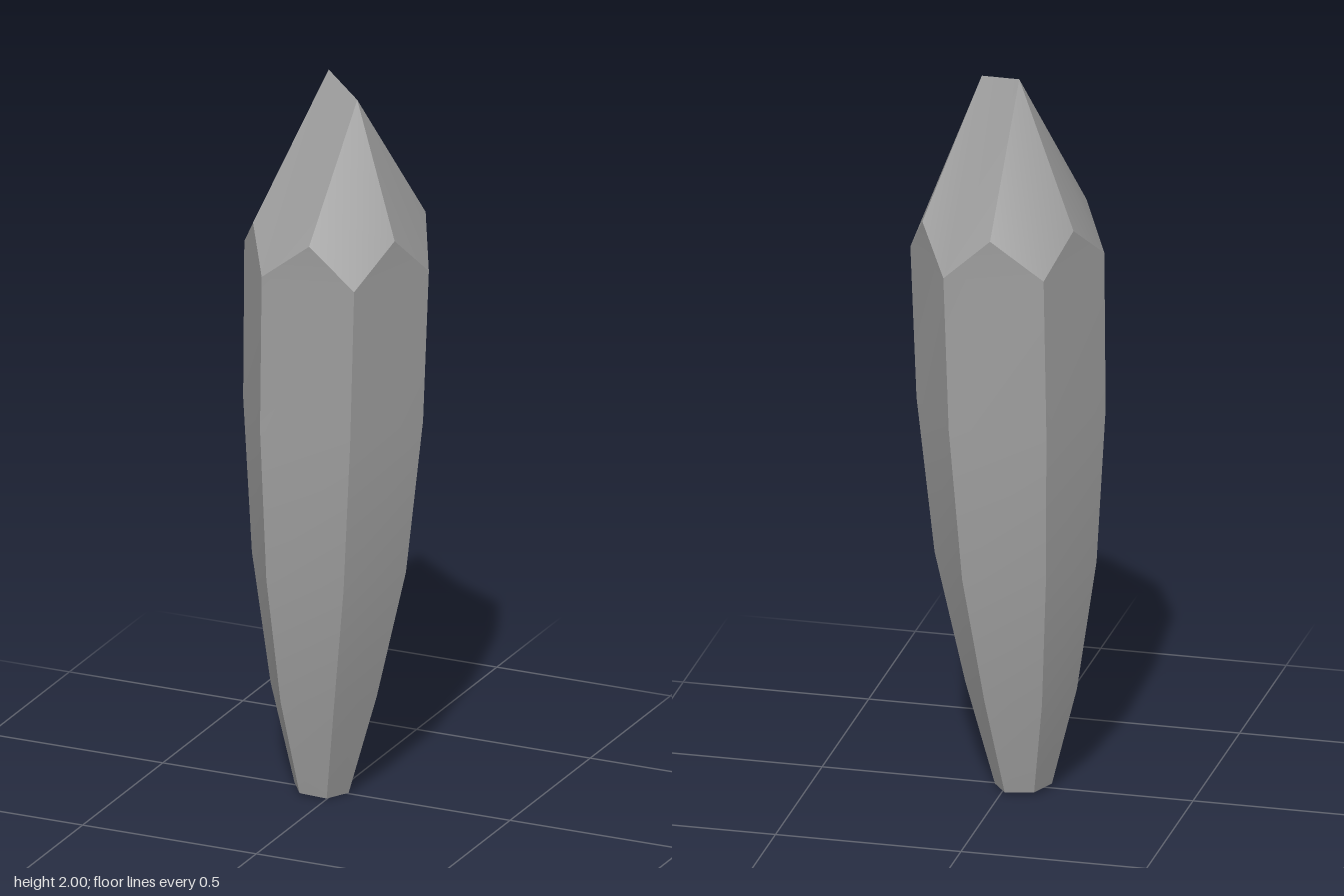
import * as THREE from 'three';
import { toCreasedNormals } from 'three/addons/utils/BufferGeometryUtils.js';

export function createModel() {
  const stone = new THREE.MeshStandardMaterial({ color: 0xa0a0a0 });
  stone.name = 'grey stone';

  // Shoulder corners of the six-sided shaft (x, z), counterclockwise from above
  const corners = [[-0.11, 0.228], [0.148, 0.21], [0.257, -0.02], [0.115, -0.231], [-0.15, -0.21], [-0.256, 0.02]];
  // Points between neighbouring corners, where the tip facets meet
  const peaks = [[0.027, 0.229], [0.213, 0.098], [0.197, -0.13], [-0.01, -0.228], [-0.203, -0.1], [-0.18, 0.13]]
    .map(([x, z]) => new THREE.Vector3(x, 1.61, z));
  const ridgeBack = new THREE.Vector3(-0.043, 2, -0.045);
  const ridgeFront = new THREE.Vector3(0.08, 1.965, 0.043);

  // Cross-sections from foot to shoulder: height, x offset, scale, tilt
  const rings = [[0.005, -0.043, 0.294, -0.065], [0.28, -0.037, 0.575, 0], [0.64, -0.022, 0.835, 0],
    [1.07, -0.01, 0.975, 0], [1.5, 0, 1, -0.03]]
    .map(([y, cx, s, tilt]) => corners.map(([x, z]) => new THREE.Vector3(cx + x * s, y + x * s * tilt, z * s)));
  const shoulder = rings[rings.length - 1];

  const positions = [];
  // Adds a convex polygon as a triangle fan
  const face = (...p) => {
    for (let i = 1; i < p.length - 1; i++) {
      for (const v of [p[0], p[i], p[i + 1]]) positions.push(v.x, v.y, v.z);
    }
  };

  // Ridge points each tip facet reaches, ordered counterclockwise
  const tops = [[ridgeFront, ridgeBack], [ridgeFront], [ridgeFront], [ridgeBack, ridgeFront], [ridgeBack], [ridgeBack]];
  for (let i = 0; i < 6; i++) {
    const j = (i + 1) % 6;
    // Shaft sides
    for (let r = 0; r < rings.length - 1; r++) {
      face(rings[r][i], rings[r][j], rings[r + 1][j], rings[r + 1][i]);
    }
    face(shoulder[i], shoulder[j], peaks[i]);
    // Tip facet above this corner
    face(shoulder[i], peaks[i], ...tops[i], peaks[(i + 5) % 6]);
  }
  // Foot cap
  face(...[...rings[0]].reverse());

  const geometry = new THREE.BufferGeometry();
  geometry.setAttribute('position', new THREE.Float32BufferAttribute(positions, 3));
  const crystal = new THREE.Mesh(toCreasedNormals(geometry, THREE.MathUtils.degToRad(28)), stone);
  crystal.name = 'crystal';

  const group = new THREE.Group();
  group.name = 'crystalShard';
  group.add(crystal);
  return group;
}
